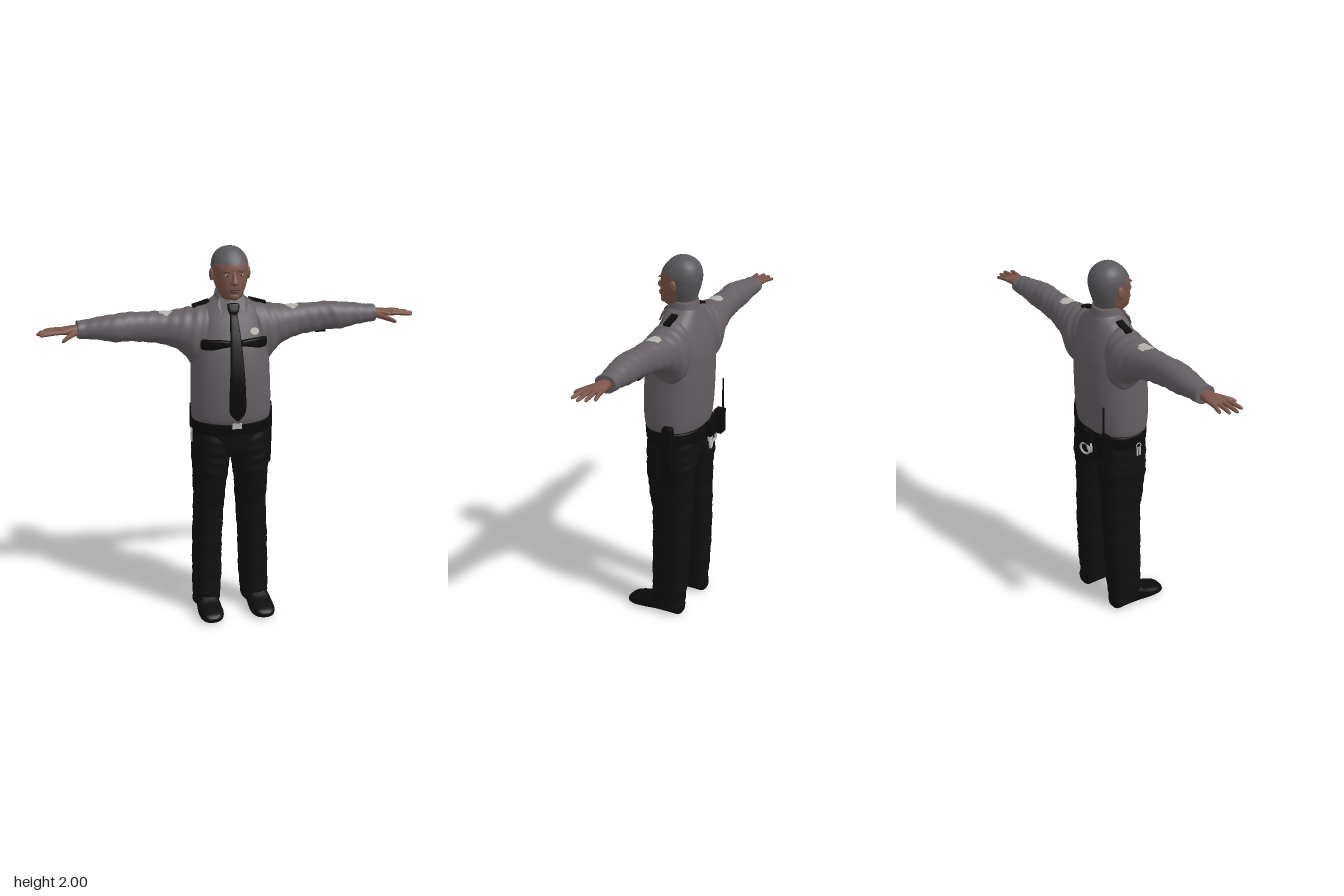
import * as THREE from 'three';

const mat = (name, color) => Object.assign(new THREE.MeshStandardMaterial({ color }), { name });
const M = {
  shirt: mat('shirt grey', 0x655f64), hair: mat('hair grey', 0x59575b), skin: mat('skin', 0x7b5549),
  lips: mat('dark skin', 0x593830), trousers: mat('trouser black', 0x101011), leather: mat('leather black', 0x0b0b0c),
  silver: mat('silver', 0xb2b2ac), eye: mat('eye white', 0xa8a09a),
};

// Catmull-Rom interpolation of a list of cross-sections, k steps per span
function refine(rings, k) {
  const out = [], last = rings.length - 1, at = i => rings[Math.min(last, Math.max(0, i))];
  for (let i = 0; i < last; i++) {
    const a = at(i - 1), b = at(i), c = at(i + 1), d = at(i + 2);
    for (let s = 0; s < k; s++) {
      const t = s / k;
      out.push(b.map((v, j) => {
        const cubic = 3 * (v - c[j]) + d[j] - a[j];
        const square = 2 * a[j] - 5 * v + 4 * c[j] - d[j];
        return v + 0.5 * t * (c[j] - a[j] + t * (square + t * cubic));
      }));
    }
  }
  out.push(rings[last]);
  return out;
}

const axes = { y: (h, u, w) => [u, h, w], x: (h, u, w) => [h, w, u], z: (h, u, w) => [w, u, h] };
const power = (v, p) => Math.sign(v) * Math.abs(v) ** (2 / p);

// Superellipse loft. Ring = [h, u0, u1, w0, w1]; pick(x, y, z) gives the material slot of a face
function loft(axis, rings, { n = 32, k = 6, p = 2.3, wave = 0, pick = () => 0 } = {}) {
  const rows = refine(rings, k), pos = [], slots = [[], []], put = axes[axis];
  for (const [h, u0, u1, w0, w1] of rows) for (let j = 0; j < n; j++) {
    const a = j / n * Math.PI * 2, f = 0.5 * (1 + wave * Math.sin(h * 75 + 2 * a) * Math.sin(h * 31 + a));
    pos.push(...put(h, (u0 + u1) / 2 + power(Math.cos(a), p) * (u1 - u0) * f,
      (w0 + w1) / 2 + power(Math.sin(a), p) * (w1 - w0) * f));
  }
  const R = rows.length;
  for (const r of [rows[0], rows[R - 1]]) pos.push(...put(r[0], (r[1] + r[2]) / 2, (r[3] + r[4]) / 2));
  const face = (...v) => {
    const c = [0, 1, 2].map(q => v.reduce((s, i) => s + pos[i * 3 + q], 0) / v.length);
    const list = slots[pick(...c)];
    for (let i = 2; i < v.length; i++) list.push(v[0], v[i - 1], v[i]);
  };
  for (let j = 0; j < n; j++) {
    const j2 = (j + 1) % n;
    for (let i = 0; i < R - 1; i++) face(i * n + j, (i + 1) * n + j, (i + 1) * n + j2, i * n + j2);
    face(R * n, j, j2);
    face(R * n + 1, (R - 1) * n + j2, (R - 1) * n + j);
  }
  const g = new THREE.BufferGeometry();
  g.setAttribute('position', new THREE.Float32BufferAttribute(pos, 3));
  g.setIndex([...slots[0], ...slots[1]]);
  g.addGroup(0, slots[0].length, 0);
  if (slots[1].length) g.addGroup(slots[0].length, slots[1].length, 1);
  g.computeVertexNormals();
  return g;
}

function mirrored(geo) {
  const g = geo.clone().scale(-1, 1, 1), ix = g.index.array;
  for (let i = 0; i < ix.length; i += 3) [ix[i + 1], ix[i + 2]] = [ix[i + 2], ix[i + 1]];
  return g;
}

// Front surface height z of a y-axis loft at (x, y)
function frontZ(rings, x, y, p = 2.3) {
  const i = Math.max(1, rings.findIndex(r => r[0] >= y)), a = rings[i - 1], b = rings[i];
  const t = (y - a[0]) / (b[0] - a[0]), [, u0, u1, w0, w1] = a.map((v, j) => v + (b[j] - v) * t);
  const c = Math.min(1, Math.abs(x - (u0 + u1) / 2) / ((u1 - u0) / 2));
  return (w0 + w1) / 2 + (w1 - w0) / 2 * (1 - c ** p) ** (1 / p);
}

// Cross-sections symmetric in x
const sym = rows => rows.map(([y, w, z0, z1]) => [y, -w, w, z0, z1]);

const TORSO = sym([[1.09, 0.203, -0.165, 0.13], [1.13, 0.208, -0.175, 0.142], [1.22, 0.21, -0.185, 0.147],
  [1.35, 0.206, -0.192, 0.143], [1.45, 0.203, -0.192, 0.127], [1.52, 0.2, -0.19, 0.108], [1.6, 0.19, -0.175, 0.078],
  [1.66, 0.172, -0.155, 0.052], [1.7, 0.13, -0.14, 0.038], [1.73, 0.085, -0.128, 0.024], [1.745, 0.07, -0.118, 0.012]]);
const HEAD = sym([[1.64, 0.06, -0.1, 0], [1.72, 0.062, -0.106, 0.012], [1.738, 0.05, -0.106, 0.05],
  [1.755, 0.058, -0.109, 0.073], [1.79, 0.074, -0.116, 0.079], [1.83, 0.086, -0.128, 0.077], [1.87, 0.092, -0.138, 0.073],
  [1.9, 0.095, -0.14, 0.071], [1.93, 0.09, -0.135, 0.06], [1.96, 0.076, -0.12, 0.038], [1.985, 0.05, -0.09, 0.01],
  [1.997, 0.02, -0.055, -0.022], [2, 0.004, -0.04, -0.034]]);

export function createModel() {
  const model = new THREE.Group();
  model.name = 'uniformedMan';
  const add = (name, geo, m) => {
    const mesh = new THREE.Mesh(geo, m);
    mesh.name = name;
    model.add(mesh);
  };
  const pair = (name, geo, m) => { add(name + 'Left', geo, m); add(name + 'Right', mirrored(geo), m); };
  const box = (w, h, d, x, y, z) => new THREE.BoxGeometry(w, h, d).translate(x, y, z);
  const ball = (rx, ry, rz, x, y, z) => new THREE.SphereGeometry(1, 16, 12).scale(rx, ry, rz).translate(x, y, z);

  // Head with a close-cropped hair cap
  const hairline = z => (z > 0 ? 1.918 : z > -0.045 ? 1.9 : 1.775);
  add('head', loft('y', HEAD, { n: 56, k: 6, p: 2.2, pick: (x, y, z) => (y > hairline(z) ? 1 : 0) }), [M.skin, M.hair]);
  add('nose', loft('y', sym([[1.812, 0.008, 0.06, 0.08], [1.82, 0.021, 0.06, 0.096], [1.832, 0.018, 0.06, 0.102],
    [1.855, 0.011, 0.055, 0.089], [1.885, 0.008, 0.05, 0.075]]), { n: 16, k: 4 }), M.skin);
  add('upperLip', ball(0.028, 0.006, 0.01, 0, 1.795, 0.081), M.lips);
  add('lowerLip', ball(0.025, 0.007, 0.011, 0, 1.784, 0.079), M.lips);
  add('chin', ball(0.03, 0.02, 0.016, 0, 1.757, 0.064), M.skin);
  pair('ear', ball(0.012, 0.033, 0.02, 0.096, 1.858, -0.03), M.skin);
  const eyeZ = frontZ(HEAD, 0.036, 1.868, 2.2);
  pair('eye', ball(0.013, 0.006, 0.006, 0.036, 1.866, eyeZ - 0.002), M.eye);
  pair('iris', ball(0.005, 0.005, 0.004, 0.036, 1.866, eyeZ + 0.002), M.leather);
  pair('eyebrow', ball(0.02, 0.005, 0.007, 0.038, 1.885, eyeZ), M.lips);

  // Shirt body and collar
  add('shirtBody', loft('y', TORSO, { n: 56 }), M.shirt);
  add('collarBand', loft('y', sym([[1.7, 0.09, -0.135, 0.03], [1.74, 0.077, -0.125, 0.022], [1.772, 0.069, -0.116, 0.0]]),
    { n: 36, k: 3 }), M.shirt);
  const wing = new THREE.Shape([[0.01, 1.725], [0.065, 1.743], [0.08, 1.71], [0.06, 1.655]].map(q => new THREE.Vector2(...q)));
  const wingGeo = new THREE.ExtrudeGeometry(wing, { depth: 0.008, bevelEnabled: false });
  const wp = wingGeo.attributes.position;
  for (let i = 0; i < wp.count; i++) {
    wp.setZ(i, wp.getZ(i) + frontZ(TORSO, wp.getX(i) * 0.8, wp.getY(i)) + 0.006);
  }
  wingGeo.setIndex([...Array(wp.count).keys()]);
  wingGeo.computeVertexNormals();
  pair('collarPoint', wingGeo, M.shirt);

  // Sleeves with a pale shoulder patch, flaring into the armpit
  const sleeve = [[0.1, -0.14, 0.04, 1.38, 1.705], [0.15, -0.165, 0.06, 1.375, 1.7], [0.2, -0.168, 0.06, 1.385, 1.688],
    [0.235, -0.16, 0.05, 1.43, 1.68], [0.3, -0.145, 0.032, 1.483, 1.673], [0.4, -0.126, 0.014, 1.51, 1.672],
    [0.5, -0.118, 0.014, 1.525, 1.676], [0.6, -0.115, 0.024, 1.53, 1.672], [0.7, -0.11, 0.008, 1.547, 1.657],
    [0.75, -0.108, 0, 1.553, 1.65], [0.79, -0.11, 0.002, 1.557, 1.646]];
  const onPatch = (x, y, z) => (y > 1.6 && ((x - 0.335) / 0.034) ** 2 + ((z + 0.055) / 0.04) ** 2 < 1 ? 1 : 0);
  pair('sleeve', loft('x', sleeve, { n: 56, k: 10, p: 2.1, wave: 0.035, pick: onPatch }), [M.shirt, M.silver]);
  pair('shoulderStrap', new THREE.BoxGeometry(0.09, 0.014, 0.036).rotateZ(-0.28).translate(0.15, 1.704, -0.05), M.leather);
  add('sleevePocket', box(0.055, 0.03, 0.05, 0.49, 1.535, -0.05), M.leather);

  // Hands: palm, four fingers and a thumb
  pair('palm', loft('x', [[0.76, -0.085, -0.025, 1.575, 1.628], [0.81, -0.088, -0.018, 1.58, 1.625],
    [0.85, -0.094, -0.002, 1.583, 1.62], [0.885, -0.094, 0.002, 1.586, 1.614], [0.9, -0.088, -0.008, 1.592, 1.61]],
  { n: 24, k: 4 }), M.skin);
  [[-0.082, -0.1, 0.955], [-0.058, -0.066, 0.985], [-0.034, -0.03, 1], [-0.01, 0.008, 0.985]].forEach(([z0, z1, tip], i) => {
    const f = [0, 0.35, 0.7, 0.93, 1].map((t, q) => {
      const r = [0.012, 0.011, 0.01, 0.008, 0.002][q], z = z0 + (z1 - z0) * t, y = 1.602 - 0.008 * t * t;
      return [0.87 + (tip - 0.87) * t, z - r, z + r, y - r, y + r];
    });
    pair('finger' + (i + 1), loft('x', f, { n: 12, k: 3, p: 2 }), M.skin);
  });
  pair('thumb', loft('x', [[0.79, -0.045, -0.01, 1.58, 1.61], [0.82, -0.03, 0.014, 1.574, 1.604],
    [0.85, 0.008, 0.042, 1.568, 1.594], [0.87, 0.036, 0.06, 1.564, 1.586], [0.88, 0.053, 0.063, 1.567, 1.577]],
  { n: 14, k: 4 }), M.skin);

  // Tie, pocket flaps and badge lying on the chest
  const tie = [[1.118, 0.006], [1.15, 0.036], [1.2, 0.045], [1.35, 0.039], [1.5, 0.031], [1.6, 0.024], [1.66, 0.02],
    [1.675, 0.026], [1.705, 0.032], [1.715, 0.028]].map(([y, w]) => {
    const z = frontZ(TORSO, 0, Math.max(1.14, y));
    return [y, -w, w, z - 0.012, z + (y > 1.66 ? 0.022 : 0.012)];
  });
  add('tie', loft('y', tie, { n: 20, k: 5, p: 4 }), M.leather);
  const flap = [[0.03, 1.505, 1.535], [0.07, 1.5, 1.54], [0.12, 1.488, 1.54], [0.16, 1.486, 1.54], [0.175, 1.492, 1.54],
    [0.182, 1.505, 1.53]].map(([x, y0, y1]) => {
    const z = frontZ(TORSO, x, 1.515);
    return [x, z - 0.018, z + 0.016, y0, y1];
  });
  pair('pocketFlap', loft('x', flap, { n: 20, k: 4, p: 4 }), M.leather);
  add('badge', new THREE.CylinderGeometry(0.026, 0.026, 0.009, 10).scale(1, 1, 0.75).rotateX(Math.PI / 2 - 0.4)
    .rotateY(0.3).translate(0.103, 1.572, frontZ(TORSO, 0.103, 1.572) + 0.005), M.silver);

  // Trousers
  add('trouserSeat', loft('y', sym([[0.9, 0.1, -0.14, 0.085], [0.94, 0.19, -0.165, 0.1], [1.0, 0.202, -0.17, 0.107],
    [1.06, 0.203, -0.165, 0.112], [1.1, 0.2, -0.16, 0.115]]), { n: 48, p: 2.6 }), M.trousers);
  pair('trouserLeg', loft('y', [[0.035, 0.07, 0.205, -0.115, 0.045], [0.08, 0.062, 0.207, -0.12, 0.06],
    [0.2, 0.054, 0.206, -0.132, 0.062], [0.4, 0.05, 0.203, -0.143, 0.062], [0.6, 0.038, 0.195, -0.15, 0.067],
    [0.75, 0.026, 0.198, -0.152, 0.09], [0.86, 0.01, 0.203, -0.16, 0.101], [0.93, -0.004, 0.205, -0.166, 0.104],
    [1.04, -0.01, 0.2, -0.16, 0.1]], { n: 36, k: 9, p: 2.5, wave: 0.03 }), M.trousers);

  // Shoes
  pair('shoe', loft('z', [[-0.113, 0.004, 0.06, 0.105, 0.175], [-0.1, 0, 0.085, 0.09, 0.19], [-0.04, 0, 0.11, 0.085, 0.195],
    [0.03, 0, 0.105, 0.08, 0.2], [0.09, 0, 0.075, 0.076, 0.206], [0.15, 0, 0.058, 0.077, 0.206],
    [0.19, 0.002, 0.045, 0.095, 0.192], [0.208, 0.008, 0.028, 0.125, 0.165]], { n: 32, k: 5, p: 2.8 }), M.leather);

  // Duty belt and buckle
  add('belt', loft('y', sym([[1.032, 0.208, -0.174, 0.12], [1.04, 0.212, -0.178, 0.124], [1.092, 0.211, -0.175, 0.13],
    [1.1, 0.206, -0.17, 0.126]]), { n: 48, k: 2, p: 2.5 }), M.leather);
  add('buckle', box(0.05, 0.03, 0.009, 0, 1.085, 0.132), M.silver);

  // Holster on the left hip
  add('holster', loft('y', [[0.81, 0.2, 0.225, -0.09, -0.04], [0.83, 0.195, 0.23, -0.098, -0.032],
    [0.98, 0.195, 0.234, -0.1, -0.03], [1.1, 0.195, 0.236, -0.1, -0.03], [1.145, 0.2, 0.234, -0.095, -0.045]],
  { n: 20, k: 3, p: 4 }), M.leather);

  // Radio, handcuffs and keys on the belt
  add('radio', box(0.055, 0.13, 0.045, -0.155, 1.06, -0.178), M.leather);
  add('antenna', new THREE.CylinderGeometry(0.004, 0.006, 0.18, 8).translate(-0.168, 1.21, -0.19), M.leather);
  add('cuffPouch', box(0.065, 0.075, 0.035, -0.03, 1.07, -0.19), M.leather);
  [-1, 1].forEach((s, i) => add('handcuff' + (i + 1), new THREE.TorusGeometry(0.03, 0.006, 8, 24).rotateZ(0.4)
    .rotateY(s * 0.25).translate(-0.03 + s * 0.014, 1.005 - s * 0.01, -0.192 - i * 0.008), M.silver));
  add('keyRing', new THREE.TorusGeometry(0.014, 0.003, 6, 16).rotateY(Math.PI / 2).translate(-0.214, 1.035, 0), M.silver);
  [-0.008, 0.008].forEach((z, i) => add('key' + (i + 1), box(0.005, 0.045, 0.01, -0.214, 1.0, z), M.silver));
  return model;
}
